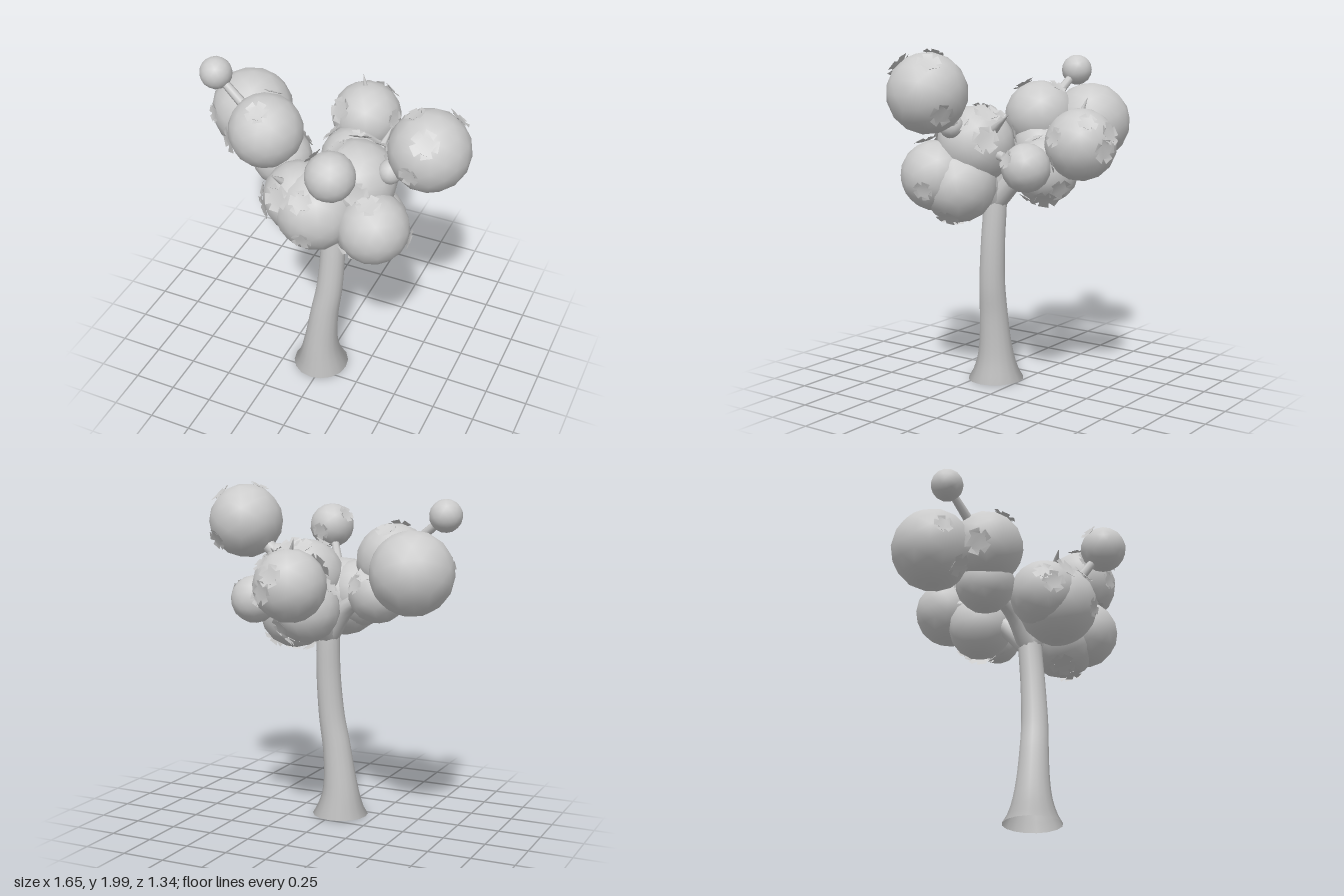
import * as THREE from 'three';
import { mergeVertices } from 'three/addons/utils/BufferGeometryUtils.js';

const vec = (x, y, z) => new THREE.Vector3(x, y, z);

// Foliage balls: centre and radius
const ball = (x, y, z, r) => ({ centre: vec(x, y, z), r });
const BALLS = {
  high: ball(0.603, 1.755, 0.155, 0.22),
  tip: ball(-0.72, 1.83, 0.03, 0.092),
  rightFront: ball(-0.392, 1.565, 0.083, 0.212),
  rightBack: ball(-0.595, 1.525, -0.15, 0.235),
  frontTop: ball(0.205, 1.715, 0.53, 0.133),
  front: ball(0.02, 1.31, 0.31, 0.232),
  frontRight: ball(-0.09, 1.34, 0.29, 0.2),
  frontLeft: ball(0.355, 1.27, 0.3, 0.2),
  low: ball(0.285, 1.215, 0.19, 0.213),
  middle: ball(0.19, 1.44, 0.14, 0.222),
  bud: ball(0.39, 1.56, 0.16, 0.068),
  backTop: ball(0, 1.46, -0.445, 0.202),
  back: ball(0.01, 1.3, -0.22, 0.187),
  backLeft: ball(0.305, 1.35, -0.285, 0.135),
  right: ball(-0.32, 1.38, 0.03, 0.17),
};

// Blossoms on each ball: turn from the front towards +x, then rise, in degrees
const BLOSSOMS = {
  high: [[-75, 68], [132, 47], [10, 40], [-8, -8], [150, -27]],
  rightFront: [[180, 57], [5, 58], [-70, -20]],
  rightBack: [[-40, 8], [0, -40]],
  frontTop: [[-108, 32], [175, -12]],
  front: [[5, -15], [-2, 40]],
  frontRight: [[-62, 12], [-45, -6], [-15, 27]],
  frontLeft: [[107, -18], [0, 70]],
  low: [[30, -75], [100, -50], [-60, -62]],
  middle: [[-75, 62], [195, 55], [155, 55], [98, 38], [22, 15], [140, 12], [210, 15]],
  backTop: [[135, 40], [175, 20], [-33, 28], [75, 15], [160, -5]],
  back: [[45, 70], [-90, 45], [120, -50], [60, -55], [150, -28]],
  backLeft: [[68, 22], [-140, 10]],
  right: [[150, 20], [175, 45]],
};

// Round tube whose radius follows a rule along the curve
function taperedTube(points, radiusAt, segments, sides) {
  const curve = new THREE.CatmullRomCurve3(points);
  const geo = new THREE.TubeGeometry(curve, segments, 1, sides, false);
  const pos = geo.attributes.position;
  const v = vec(0, 0, 0), c = vec(0, 0, 0);
  for (let i = 0; i < pos.count; i++) {
    const t = Math.floor(i / (sides + 1)) / segments;
    curve.getPointAt(t, c);
    v.fromBufferAttribute(pos, i).sub(c).multiplyScalar(radiusAt(t)).add(c);
    pos.setXYZ(i, v.x, v.y, v.z);
  }
  return geo;
}

// Coarse ball with smooth normals
function ballGeometry() {
  const ico = new THREE.IcosahedronGeometry(1.015, 2);
  ico.deleteAttribute('uv');
  ico.deleteAttribute('normal');
  const geo = mergeVertices(ico, 1e-4);
  geo.computeVertexNormals();
  return geo;
}

// Thin blossom with five broad square petals, bent into a shallow cup
function blossomGeometry() {
  const corners = [];
  for (let i = 0; i < 5; i++) {
    for (const [turn, r] of [[-0.58, 0.6], [-0.4, 1], [0.4, 1], [0.58, 0.6]]) {
      const a = (i / 5) * Math.PI * 2 + turn;
      corners.push(new THREE.Vector2(Math.cos(a) * r, Math.sin(a) * r));
    }
  }
  const geo = new THREE.ShapeGeometry(new THREE.Shape(corners));
  const p = geo.attributes.position;
  for (let i = 0; i < p.count; i++) {
    p.setZ(i, 0.12 * Math.hypot(p.getX(i), p.getY(i)) + (i % 3) * 0.04);
  }
  geo.computeVertexNormals();
  return geo;
}

export function createModel() {
  const tree = new THREE.Group();
  const grey = new THREE.MeshStandardMaterial({ color: 0xcccccc });
  const thin = new THREE.MeshStandardMaterial({ color: 0xcccccc, side: THREE.DoubleSide });
  const add = (parent, name, geo, mat) => {
    const mesh = new THREE.Mesh(geo, mat);
    mesh.name = name;
    parent.add(mesh);
    return mesh;
  };

  // Trunk: gently curved, with an open flared foot
  const fork = vec(0.035, 1.1, 0.115);
  const trunkPath = [vec(-0.028, 0, 0.158), vec(-0.028, 0.15, 0.16), vec(-0.005, 0.4, 0.157),
    vec(0.024, 0.6, 0.147), vec(0.038, 0.85, 0.13), fork, vec(0.03, 1.28, 0.12)];
  const trunkRadius = (t) => 0.069 + 0.03 * (1 - t) ** 2 + 0.068 * Math.exp(-t * 12);
  add(tree, 'trunk', taperedTube(trunkPath, trunkRadius, 28, 16), thin);

  // Main limbs leave the fork steeply and bend out to a ball
  for (const name of ['high', 'right', 'backTop', 'front', 'middle']) {
    const end = BALLS[name].centre;
    const bend = fork.clone().lerp(end, 0.4);
    bend.y += 0.07;
    add(tree, 'limb', taperedTube([fork, bend, end], (t) => 0.068 - 0.036 * t, 10, 10), grey);
  }

  // Thin stems joining outer balls to inner ones
  for (const [from, to] of [['front', 'frontTop'], ['rightFront', 'tip'], ['right', 'rightBack'], ['middle', 'backLeft']]) {
    const path = [BALLS[from].centre, BALLS[to].centre];
    add(tree, 'stem', taperedTube(path, (t) => 0.034 - 0.012 * t, 4, 8), grey);
  }

  // Bare pointed twigs
  for (const [base, tip, r] of [
    [vec(0, 1.62, -0.44), vec(-0.035, 1.72, -0.465), 0.018],
    [vec(0.25, 1.53, -0.02), vec(0.275, 1.63, -0.15), 0.03],
    [vec(-0.14, 1.5, 0.4), vec(-0.18, 1.55, 0.44), 0.02],
  ]) {
    add(tree, 'twig', taperedTube([base, tip], (t) => r * (1 - t) + 0.001, 3, 7), grey);
  }

  // Foliage balls with blossoms resting on them
  const round = ballGeometry();
  const petals = blossomGeometry();
  const forward = vec(0, 0, 1);
  Object.entries(BALLS).forEach(([name, { centre, r }], k) => {
    const clump = new THREE.Group();
    clump.name = 'clump';
    clump.position.copy(centre);
    tree.add(clump);
    const foliage = add(clump, 'foliage', round, grey);
    foliage.scale.setScalar(r);
    foliage.rotation.set(k * 0.7, k * 1.3, 0);

    (BLOSSOMS[name] ?? []).forEach(([turn, rise], i) => {
      const dir = vec(0, 0, 0).setFromSphericalCoords(
        1, THREE.MathUtils.degToRad(90 - rise), THREE.MathUtils.degToRad(turn));
      const blossom = add(clump, 'blossom', petals, thin);
      blossom.position.copy(dir).multiplyScalar(r);
      blossom.quaternion.setFromUnitVectors(forward, dir);
      blossom.rotateZ(k + i * 1.9);
      blossom.scale.setScalar(r > 0.14 ? 0.06 + 0.01 * (i % 3) : 0.055);
    });
  });
  return tree;
}
